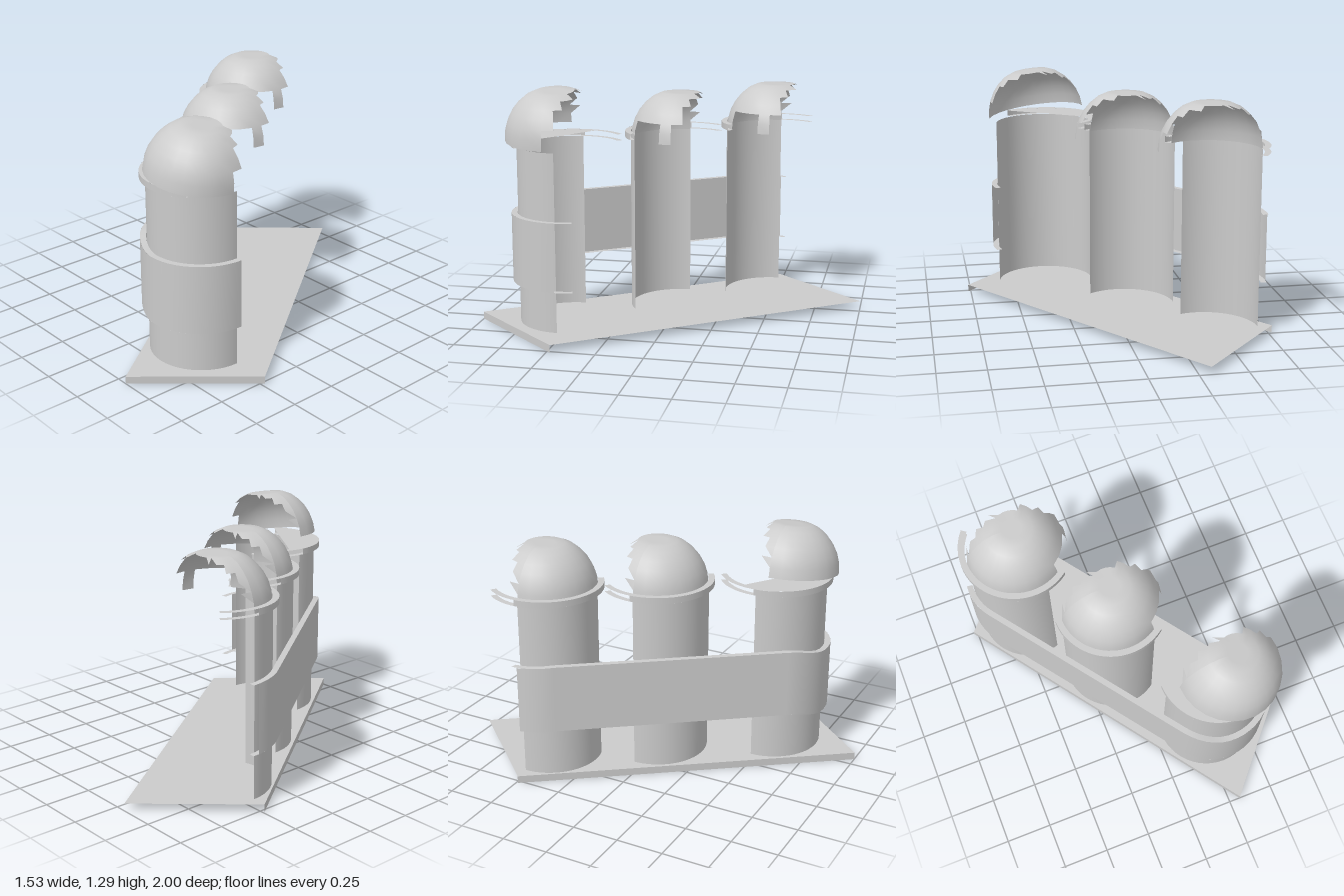
import * as THREE from 'three';

const mat = new THREE.MeshStandardMaterial({ color: 0xcccccc, side: THREE.DoubleSide });
const rad = THREE.MathUtils.degToRad;
const V = (x, y, z) => new THREE.Vector3(x, y, z);

// Angles run in degrees from +x towards +z.
const polar = (c, r, a, y) => V(c.x + r * Math.cos(rad(a)), y, c.z + r * Math.sin(rad(a)));

function part(name, geometry, parent) {
  const mesh = new THREE.Mesh(geometry, mat);
  mesh.name = name;
  parent.add(mesh);
  return mesh;
}

// Ribbon of quads between two rows of points
function strip(a, b) {
  const pos = [], idx = [];
  a.forEach((p, i) => {
    pos.push(...p.toArray(), ...b[i].toArray());
    const k = 2 * i;
    if (i) idx.push(k - 2, k - 1, k, k - 1, k + 1, k);
  });
  const g = new THREE.BufferGeometry();
  g.setAttribute('position', new THREE.Float32BufferAttribute(pos, 3));
  g.setIndex(idx);
  g.computeVertexNormals();
  return g;
}

// Open upright wall following an arc
function arcWall(r, y0, y1, a0, a1) {
  return new THREE.CylinderGeometry(r, r, y1 - y0, 24, 1, true, rad(90 - a1), rad(a1 - a0))
    .translate(0, (y0 + y1) / 2, 0);
}

// Flat arc at height y
function arcFlat(r0, r1, y, a0, a1) {
  return new THREE.RingGeometry(r0, r1, 24, 1, rad(a0), rad(a1 - a0))
    .rotateX(Math.PI / 2).translate(0, y, 0);
}

// Flat outline at height y, points given as [x, z]
function flat(points, y) {
  const shape = new THREE.Shape(points.map(([x, z]) => new THREE.Vector2(x, -z)));
  return new THREE.ShapeGeometry(shape).rotateX(-Math.PI / 2).translate(0, y, 0);
}

// Broken half dome with a flattened crown and a ragged rear edge
function domeGeometry(notched) {
  const g = new THREE.SphereGeometry(0.27, 26, 8, 0, Math.PI * 2, 0, Math.PI / 2);
  const p = g.attributes.position, keep = [];
  for (let i = 0; i < p.count; i++) p.setY(i, Math.min(p.getY(i), 0.245));
  const idx = g.index.array;
  for (let i = 0; i < idx.length; i += 3) {
    const t = [idx[i], idx[i + 1], idx[i + 2]];
    const mean = (f) => (f(t[0]) + f(t[1]) + f(t[2])) / 3;
    const x = mean((k) => p.getX(k)), y = mean((k) => p.getY(k)), z = mean((k) => p.getZ(k));
    const a = THREE.MathUtils.radToDeg(Math.atan2(z, x));
    const hole = notched && y < 0.09 && a > 18 && a < 55;
    if (z > -0.01 - 0.1 * (y / 0.245) ** 2 && !hole) keep.push(...t);
  }
  g.setIndex(keep);
  g.computeVertexNormals();
  return g;
}

export function createModel() {
  const model = new THREE.Group();
  model.name = 'domedColumns';

  // Slanted base plate: top and its two front walls
  const base = new THREE.Group();
  base.name = 'base';
  model.add(base);
  const corners = [[-0.31, -1], [-0.77, -0.49], [0.31, 1], [0.765, 0.48]];
  part('baseTop', flat(corners, 0.04), base);
  for (const i of [1, 2]) {
    const edge = (y) => [corners[i], corners[i + 1]].map(([x, z]) => V(x, y, z));
    part('baseWall', strip(edge(0.04), edge(0)), base);
  }

  // Columns with collar and dome
  const columns = [
    { x: -0.42, z: -0.49, top: 1.03, from: 72, ringEnd: 218, dome: [-0.42, 0.995, -0.49] },
    { x: -0.07, z: -0.02, top: 1.018, from: 54, ringEnd: 218, dome: [-0.07, 0.98, -0.02] },
    { x: 0.305, z: 0.5, top: 1.018, from: 0, ringEnd: 234, dome: [0.345, 1.03, 0.55] },
  ];
  columns.forEach((c, i) => {
    const last = i === 2;
    const column = new THREE.Group();
    column.name = 'column';
    column.position.set(c.x, 0, c.z);
    model.add(column);
    part('columnWall', arcWall(0.272, 0.04, last ? 0.983 : c.top, c.from, 180), column);
    part('collarWall', arcWall(0.302, c.top - 0.033, c.top, 52, 180), column);
    for (const y of [c.top - 0.033, c.top]) {
      part('collarFace', arcFlat(0.27, 0.302, y, 52, c.ringEnd), column);
    }
    const dome = part('dome', domeGeometry(!last), model);
    dome.position.set(...c.dome);
    if (last) dome.rotation.z = -0.13;
  });

  // Exposed column-top segment under the tilted dome
  const front = columns[2];
  const segment = [];
  for (let a = 52; a <= 195; a += 11) {
    const p = polar(front, 0.275, a, 0);
    segment.push([p.x, p.z]);
  }
  part('columnTop', flat(segment, 1.017), model);

  // Strap: round the rear column, straight across, round the front column
  const band = new THREE.Group();
  band.name = 'band';
  model.add(band);
  const drop = (a) => 0.31 - 0.045 * THREE.MathUtils.smoothstep(143 - a, 0, 50);
  const row = (r, h, a0, a1) => {
    const pts = [];
    for (let k = 0; k <= 6; k++) {
      const t = k / 6;
      pts.push(polar(columns[0], r, a0 + (143 - a0) * t, 0.29 + 0.016 * t + h));
    }
    for (let k = 0; k <= 20; k++) {
      const a = 143 + (a1 - 143) * k / 20;
      pts.push(polar(front, r, a, drop(a) + h));
    }
    return pts;
  };
  part('bandWall', strip(row(0.306, 0.365, 180, 0), row(0.306, 0, 180, 0)), band);
  for (const h of [0, 0.365]) {
    part('bandEdge', strip(row(0.306, h, 186, -18), row(0.275, h, 186, -18)), band);
  }

  return model;
}
